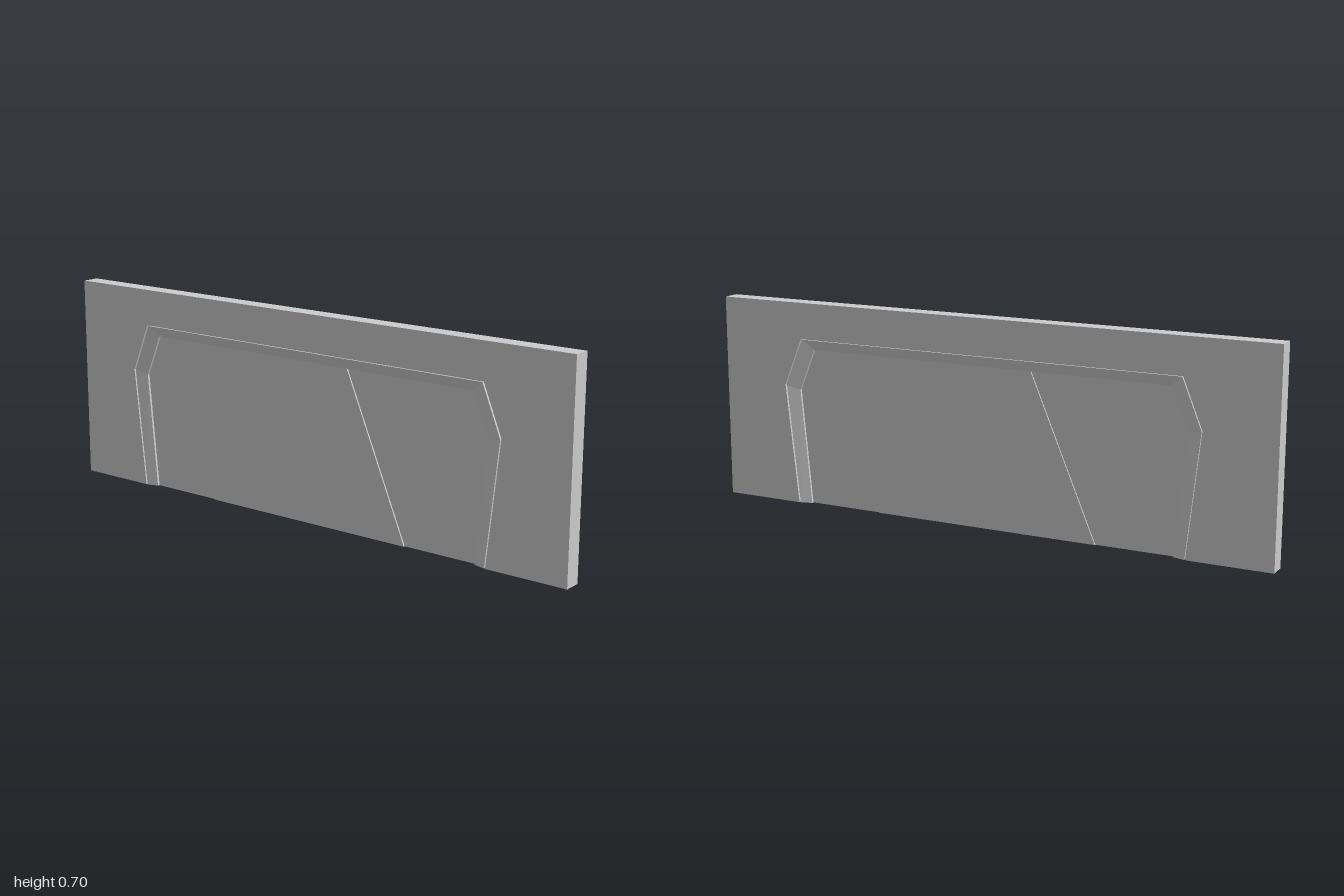
import * as THREE from 'three';

const H = 0.705, D = 0.03;

// mirror half a profile (right side, bottom to top) into a path running from left bottom to right bottom
const arch = (half) => [...half.map(([x, y]) => [-x, y]), ...half.slice().reverse()];

const OUTER = [[0.715, 0], [0.76, 0.415], [0.692, 0.582]];
const INNER = [[0.67, 0], [0.707, 0.4], [0.647, 0.545]];
const between = (t) => OUTER.map(([x, y], i) => [
  x + (INNER[i][0] - x) * t, y + (INNER[i][1] - y) * t,
]);

// flat-sided strips joining a series of rings; each ring is [path, z]
function loft(rings) {
  const pos = [];
  for (let r = 0; r < rings.length - 1; r++) {
    const [a, za] = rings[r], [b, zb] = rings[r + 1];
    for (let i = 0; i < a.length - 1; i++) {
      const A = [...a[i], za], B = [...b[i], zb];
      const C = [...b[i + 1], zb], E = [...a[i + 1], za];
      pos.push(...A, ...B, ...C, ...A, ...C, ...E);
    }
  }
  const g = new THREE.BufferGeometry();
  g.setAttribute('position', new THREE.Float32BufferAttribute(pos, 3));
  g.computeVertexNormals();
  return g;
}

const toShape = (pts) => new THREE.Shape(pts.map(([x, y]) => new THREE.Vector2(x, y)));

export function createModel() {
  const model = new THREE.Group();
  model.name = 'wallWithDoor';
  const mat = new THREE.MeshStandardMaterial({ color: 0xcccccc, side: THREE.DoubleSide });

  const add = (parent, geometry, name) => {
    const mesh = new THREE.Mesh(geometry, mat);
    mesh.name = name;
    parent.add(mesh);
    return mesh;
  };

  // top and end faces of the wall, open underneath
  const rim = arch([[1, 0], [1, H]]);
  add(model, loft([[rim, -D], [rim, D]]), 'wallEdges');

  // both faces are alike, the back being the front turned half way round
  for (const side of ['front', 'back']) {
    const face = new THREE.Group();
    face.name = side + 'Face';
    if (side === 'back') face.rotation.y = Math.PI;
    model.add(face);

    // wall face, notched for the doorway
    const wall = toShape([...rim, ...arch(OUTER).reverse()]);
    add(face, new THREE.ShapeGeometry(wall).translate(0, 0, D), side + 'Wall');

    // narrow groove, then a door frame sloping in towards the panels
    const outer = arch(OUTER), lip = arch(between(0.1)), inner = arch(INNER);
    add(face, loft([
      [outer, D], [outer, 0.022], [lip, 0.022], [lip, 0.029], [inner, 0.018], [inner, 0],
    ]), side + 'DoorFrame');

    // door panels: a raised tapering centre between two lower wings
    const panel = (pts, depth, name) => add(face,
      new THREE.ExtrudeGeometry(toShape(pts), { depth, bevelEnabled: false }), name);
    panel([[-0.402, 0], [0.402, 0], [0.17, 0.545], [-0.17, 0.545]], 0.015, side + 'CentrePanel');
    for (const s of [-1, 1]) {
      const pts = [[0.402, 0], ...INNER, [0.17, 0.545]].map(([x, y]) => [s * x, y]);
      panel(pts, 0.01, side + (s > 0 ? 'RightWing' : 'LeftWing'));
    }
  }
  return model;
}
